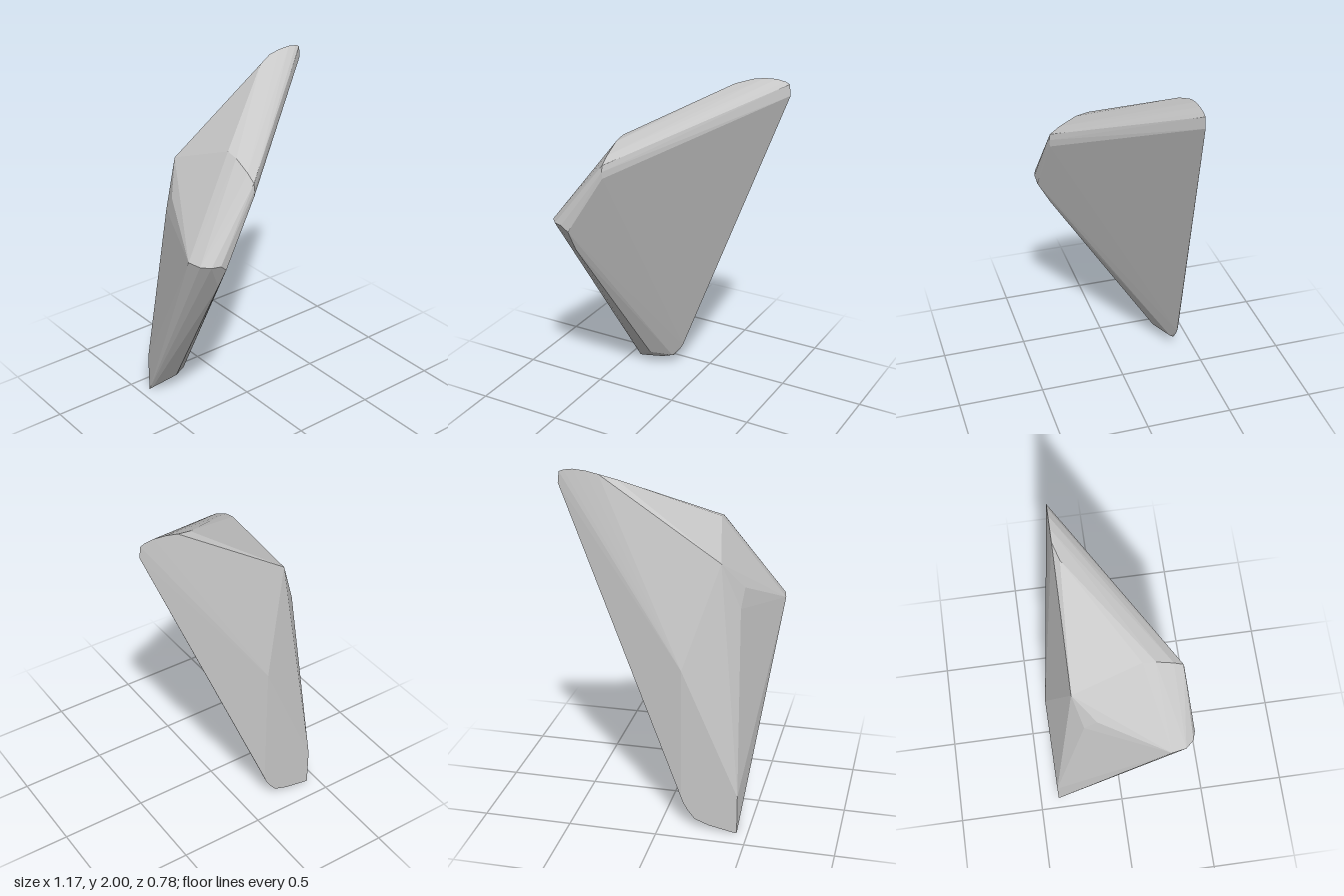
import * as THREE from 'three';
import { ConvexGeometry } from 'three/addons/geometries/ConvexGeometry.js';

const stone = new THREE.MeshStandardMaterial({ color: 0xc8c8c8 });
stone.name = 'pale stone grey';

// Corners of the faceted shard, grouped by region (x, y, z)
const corners = {
  // narrow foot, worn round on its right edge
  foot: [
    [-0.44, 0, -0.39], [-0.42, 0.002, -0.39], [-0.28, 0.03, -0.39], [-0.2, 0.06, -0.39],
    [-0.16, 0.11, -0.39], [-0.135, 0.15, -0.39], [-0.12, 0.19, -0.39],
    [-0.2, 0.07, -0.37], [-0.31, 0.1, -0.29], [-0.43, 0.02, -0.37],
  ],
  // flat back and its upper ridge corners
  back: [
    [-0.44, 0.23, -0.39], [-0.12, 0.96, -0.39], [-0.305, 1.535, -0.25],
    [-0.405, 1.27, -0.2], [-0.415, 1.37, -0.13],
  ],
  // rounded tip at the top
  tip: [
    [0.27, 1.95, -0.22], [0.36, 1.98, -0.25], [0.43, 1.995, -0.25], [0.5, 2, -0.25],
    [0.55, 1.993, -0.25], [0.575, 1.982, -0.25], [0.582, 1.92, -0.25],
  ],
  // bevelled front shoulder
  shoulder: [
    [-0.23, 1.68, 0.13], [-0.23, 1.665, 0.2], [-0.23, 1.615, 0.295],
    [-0.23, 1.575, 0.348], [-0.23, 1.54, 0.353], [-0.23, 1.5, 0.35],
  ],
  // worn side corner
  side: [
    [-0.585, 1.19, 0.25], [-0.57, 1.19, 0.33], [-0.53, 1.19, 0.375],
    [-0.48, 1.19, 0.39], [-0.44, 1.155, 0.383], [-0.44, 1.02, 0.31],
  ],
};

export function createModel() {
  const group = new THREE.Group();
  group.name = 'rockShard';

  const points = Object.values(corners).flat().map((p) => new THREE.Vector3(...p));
  const shard = new THREE.Mesh(new ConvexGeometry(points), stone);
  shard.name = 'shard';
  group.add(shard);

  return group;
}
